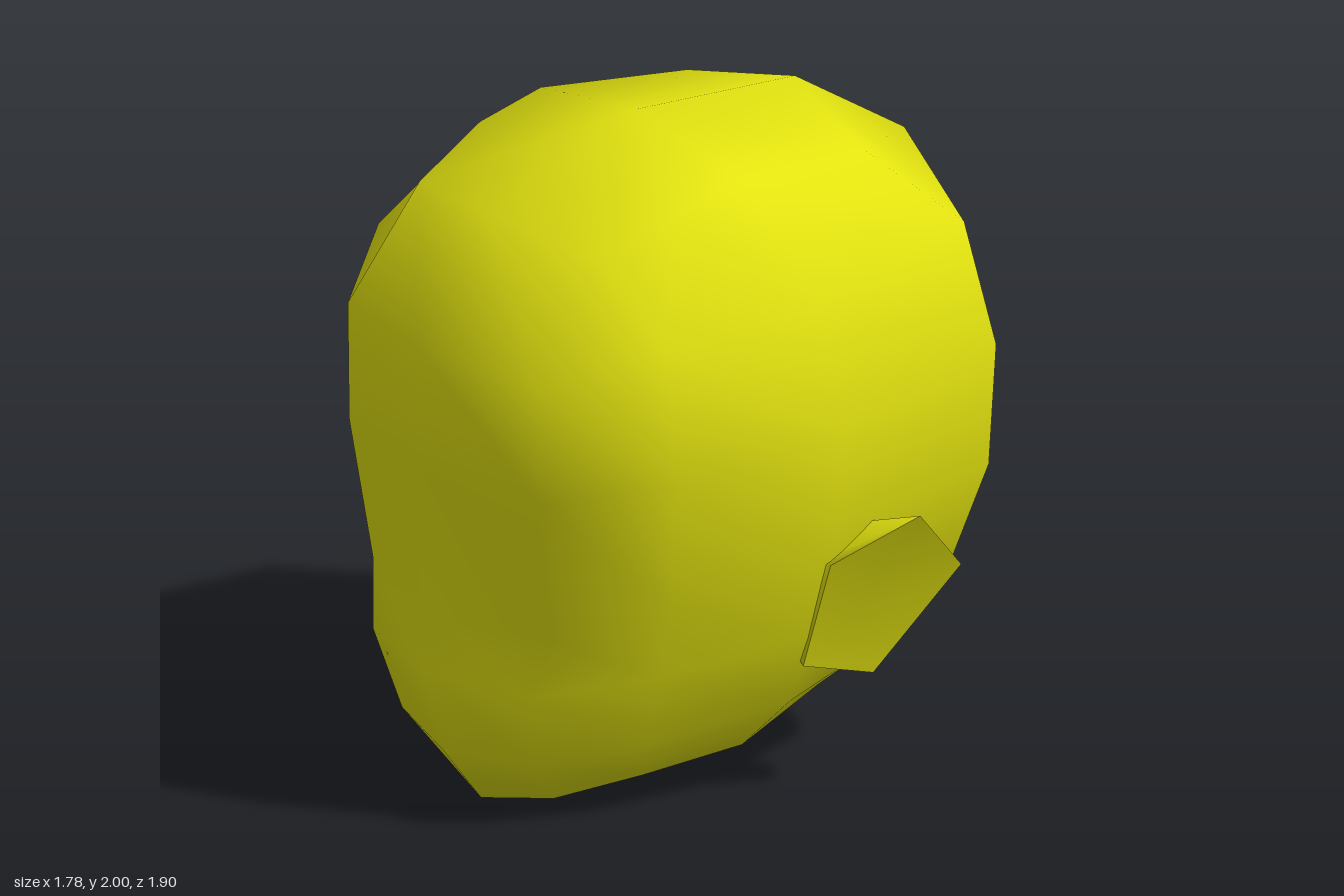
import * as THREE from 'three';

const skin = new THREE.MeshStandardMaterial({ color: 0xe4e410, side: THREE.DoubleSide });
skin.name = 'yellow skin';

function surface(name, points, faces) {
  const geometry = new THREE.BufferGeometry();
  geometry.setAttribute('position', new THREE.Float32BufferAttribute(points.flat(), 3));
  geometry.setIndex(faces.flat());
  geometry.computeVertexNormals();
  const mesh = new THREE.Mesh(geometry, skin);
  mesh.name = name;
  return mesh;
}

// Half rings from crown to neck: front middle, round the left side, back middle
const halfRings = [
  [[0, 1.81, 0.70], [0.42, 1.76, 0.62], [0.47, 1.87, 0.36], [0.48, 1.92, 0.13], [0.42, 1.88, -0.36], [0, 1.97, -0.43]],
  [[0, 1.45, 0.95], [0.45, 1.43, 0.86], [0.68, 1.54, 0.57], [0.73, 1.58, 0.05], [0.62, 1.67, -0.57], [0, 1.72, -0.83]],
  [[0, 1.08, 0.95], [0.45, 1.07, 0.855], [0.735, 1.15, 0.575], [0.795, 1.2, 0], [0.655, 1.28, -0.66], [0, 1.34, -0.95]],
  [[0, 0.57, 0.84], [0.42, 0.63, 0.79], [0.64, 0.74, 0.52], [0.74, 0.83, 0], [0.62, 0.9, -0.66], [0, 0.89, -0.95]],
  [[0, 0.44, 0.93], [0.37, 0.44, 0.83], [0.55, 0.48, 0.5], [0.64, 0.52, 0], [0.53, 0.57, -0.58], [0, 0.56, -0.81]],
  [[0, 0.18, 0.86], [0.31, 0.2, 0.77], [0.45, 0.23, 0.46], [0.53, 0.29, 0], [0.42, 0.36, -0.45], [0, 0.34, -0.64]],
  [[0, 0, 0.72], [0.24, 0.05, 0.64], [0.35, 0.1, 0.4], [0.37, 0.12, 0.05], [0.28, 0.2, -0.3], [0, 0.245, -0.42]],
  [[0, 0.05, 0.24], [0.1, 0.07, 0.14], [0.15, 0.09, 0.07], [0.19, 0.1, 0.01], [0.1, 0.125, -0.09], [0, 0.15, -0.2]],
];

// Smooth skull and muzzle, left open at the neck
function makeHead() {
  const points = [[0, 2, 0.15]];
  const faces = [];
  const n = 10;
  halfRings.forEach((half, i) => {
    const right = half.slice(1, 5).reverse().map(([x, y, z]) => [-x, y, z]);
    points.push(...half, ...right);
    for (let j = 0; j < n; j++) {
      const k = (j + 1) % n;
      const a = 1 + i * n + j, b = 1 + i * n + k;
      if (i === 0) faces.push([0, a, b]);
      else faces.push([a - n, a, b], [a - n, b, b - n]);
    }
  });
  return surface('head', points, faces);
}

// Ear: dished front inside a five-sided rim, with a back running into the head
function makeEar(side) {
  const rim = [[0.89, 0.925, -0.2], [0.75, 0.78, 0.02], [0.62, 0.43, 0.02], [0.68, 0.38, -0.19], [0.845, 0.72, -0.385]];
  const root = [[0.66, 0.85, -0.15], [0.66, 0.76, 0], [0.54, 0.46, 0], [0.56, 0.46, -0.14], [0.66, 0.72, -0.24]];
  const place = (list) => list.map(([x, y, z]) => [x * side, y, z]);
  const turn = (f) => (side > 0 ? f : [f[0], f[2], f[1]]);
  const front = [], back = [];
  for (let j = 0; j < 5; j++) {
    const k = (j + 1) % 5;
    front.push(turn([5, j, k]));
    back.push(turn([j, j + 5, k + 5]), turn([j, k + 5, k]));
  }
  const ear = new THREE.Group();
  ear.name = side > 0 ? 'leftEar' : 'rightEar';
  ear.add(surface('earFront', place([...rim, [0.71, 0.62, -0.13]]), front));
  ear.add(surface('earBack', place([...rim, ...root]), back));
  return ear;
}

export function createModel() {
  const model = new THREE.Group();
  model.name = 'roundHead';
  model.add(makeHead(), makeEar(1), makeEar(-1));
  return model;
}
